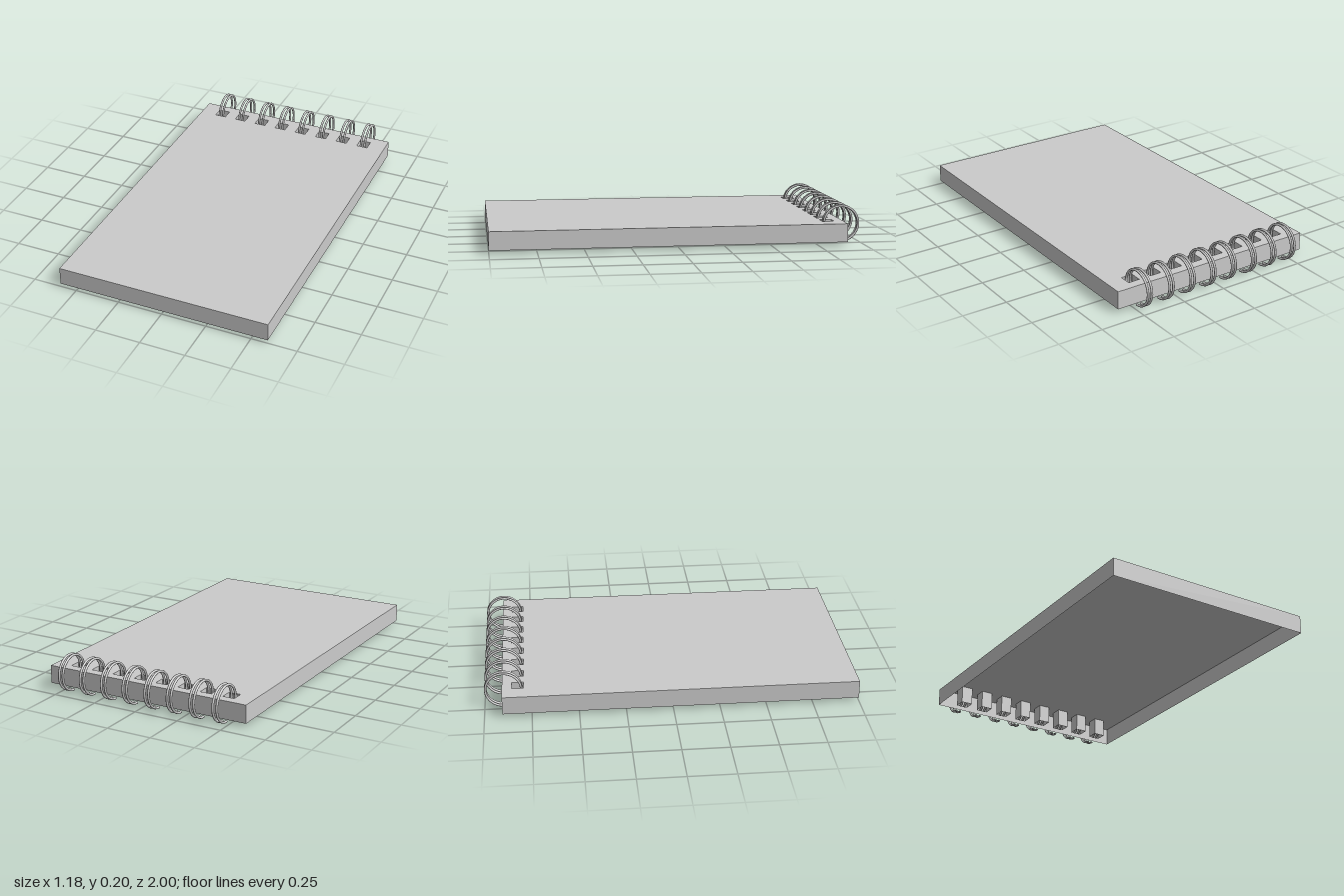
import * as THREE from 'three';

const WIDTH = 1.184, BACK = -0.905, FRONT = 1.0, BOTTOM = 0.021, TOP = 0.12;
const HOLE = 0.065, HOLE_Z = -0.822, PITCH = 0.1323, COUNT = 8;
const RING_R = 0.0955, WIRE_R = 0.0065, RING_Y = 0.104, RING_Z = -0.898;

const flat = new THREE.MeshStandardMaterial({ color: 0xcccccc, flatShading: true, side: THREE.DoubleSide });
const smooth = new THREE.MeshStandardMaterial({ color: 0xcccccc, side: THREE.DoubleSide });

// Four thin upright walls around a rectangle, open above and below
function sleeve(name, w, d, x, z) {
  const geo = new THREE.CylinderGeometry(Math.SQRT1_2, Math.SQRT1_2, TOP - BOTTOM, 4, 1, true);
  geo.rotateY(Math.PI / 4);
  geo.scale(w, 1, d);
  const mesh = new THREE.Mesh(geo, flat);
  mesh.name = name;
  mesh.position.set(x, (TOP + BOTTOM) / 2, z);
  return mesh;
}

// Rectangle path in the flat plan, where plan y is -z
function rect(path, x0, x1, z0, z1) {
  path.moveTo(x0, -z1);
  path.lineTo(x1, -z1);
  path.lineTo(x1, -z0);
  path.lineTo(x0, -z0);
  path.closePath();
  return path;
}

export function createModel() {
  const group = new THREE.Group();
  group.name = 'notepad';
  const xs = Array.from({ length: COUNT }, (_, i) => (i - (COUNT - 1) / 2) * PITCH - 0.0015);

  // Cover sheet with square punched holes
  const plan = rect(new THREE.Shape(), -WIDTH / 2, WIDTH / 2, BACK, FRONT);
  for (const x of xs) {
    plan.holes.push(rect(new THREE.Path(), x - HOLE / 2, x + HOLE / 2, HOLE_Z - HOLE / 2, HOLE_Z + HOLE / 2));
  }
  const cover = new THREE.Mesh(new THREE.ShapeGeometry(plan).rotateX(-Math.PI / 2), flat);
  cover.name = 'cover';
  cover.position.y = TOP;
  group.add(cover);

  // Page edges, open underneath
  group.add(sleeve('pageEdges', WIDTH, FRONT - BACK, 0, (FRONT + BACK) / 2));

  // Wire loop with a small gap under the pad
  const loop = new THREE.TorusGeometry(RING_R, WIRE_R, 8, 44, Math.PI * 11 / 6);
  loop.rotateZ(-Math.PI / 2);
  loop.rotateY(Math.PI / 2);

  // Hole linings and twin wire loops
  for (const x of xs) {
    group.add(sleeve('holeLining', HOLE, HOLE, x, HOLE_Z));
    const binding = new THREE.Group();
    binding.name = 'bindingRing';
    for (const side of [-1, 1]) {
      const wire = new THREE.Mesh(loop, smooth);
      wire.name = 'wireLoop';
      wire.position.set(x + side * 0.0117, RING_Y, RING_Z);
      binding.add(wire);
    }
    group.add(binding);
  }
  return group;
}
